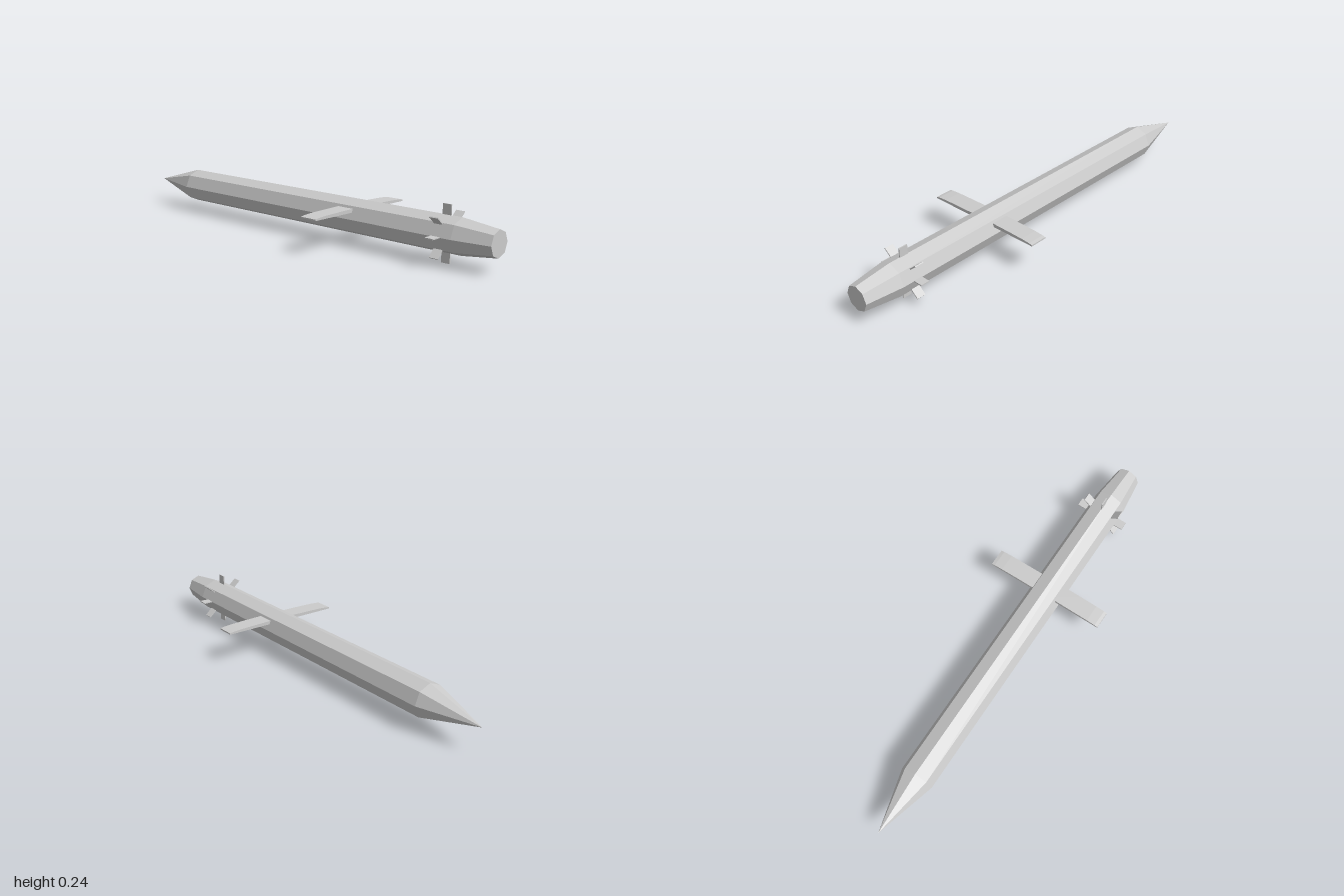
import * as THREE from 'three';

const AXIS_X = 0.003, AXIS_Y = 0.12;

export function createModel() {
  const model = new THREE.Group();
  const material = new THREE.MeshStandardMaterial({ color: 0xcccccc, flatShading: true });
  const add = (name, geometry, parent = model) => {
    const mesh = new THREE.Mesh(geometry, material);
    mesh.name = name;
    parent.add(mesh);
    return mesh;
  };

  // Eight-sided body: pointed nose at -z, tapered flat tail at +z
  const profile = [[0, -1], [0.076, -0.725], [0.076, 0.835], [0.056, 1], [0, 1]]
    .map(([r, z]) => new THREE.Vector2(r, z));
  const bodyGeometry = new THREE.LatheGeometry(profile, 8);
  bodyGeometry.rotateX(Math.PI / 2);
  add('body', bodyGeometry).position.set(AXIS_X, AXIS_Y, 0);

  // Straight wings: flat underside, top curving down to a blunt tip
  const section = new THREE.Shape([
    [0.03, 0.148], [0.28, 0.148], [0.28, 0.154], [0.265, 0.157],
    [0.225, 0.16], [0.15, 0.162], [0.03, 0.164],
  ].map(([x, y]) => new THREE.Vector2(x, y)));
  const wingGeometry = new THREE.ExtrudeGeometry(section, { depth: 0.08, bevelEnabled: false });
  wingGeometry.translate(0, 0, 0.257);
  add('leftWing', wingGeometry);
  // Half a turn about y plus a flip in y would invert the camber, so mirror the section
  add('rightWing', wingGeometry).scale.x = -1;

  // Ring of eight small tail fins
  const fins = new THREE.Group();
  fins.name = 'tailFins';
  fins.position.set(AXIS_X, AXIS_Y, 0.765);
  model.add(fins);
  const finGeometry = new THREE.BoxGeometry(0.06, 0.0045, 0.04);
  finGeometry.translate(0.088, 0, 0);
  [0, 40, 90, 138.5, 180, 225, 270, 318].forEach((degrees, i) => {
    add(`tailFin${i + 1}`, finGeometry, fins).rotation.z = THREE.MathUtils.degToRad(degrees);
  });
  return model;
}
